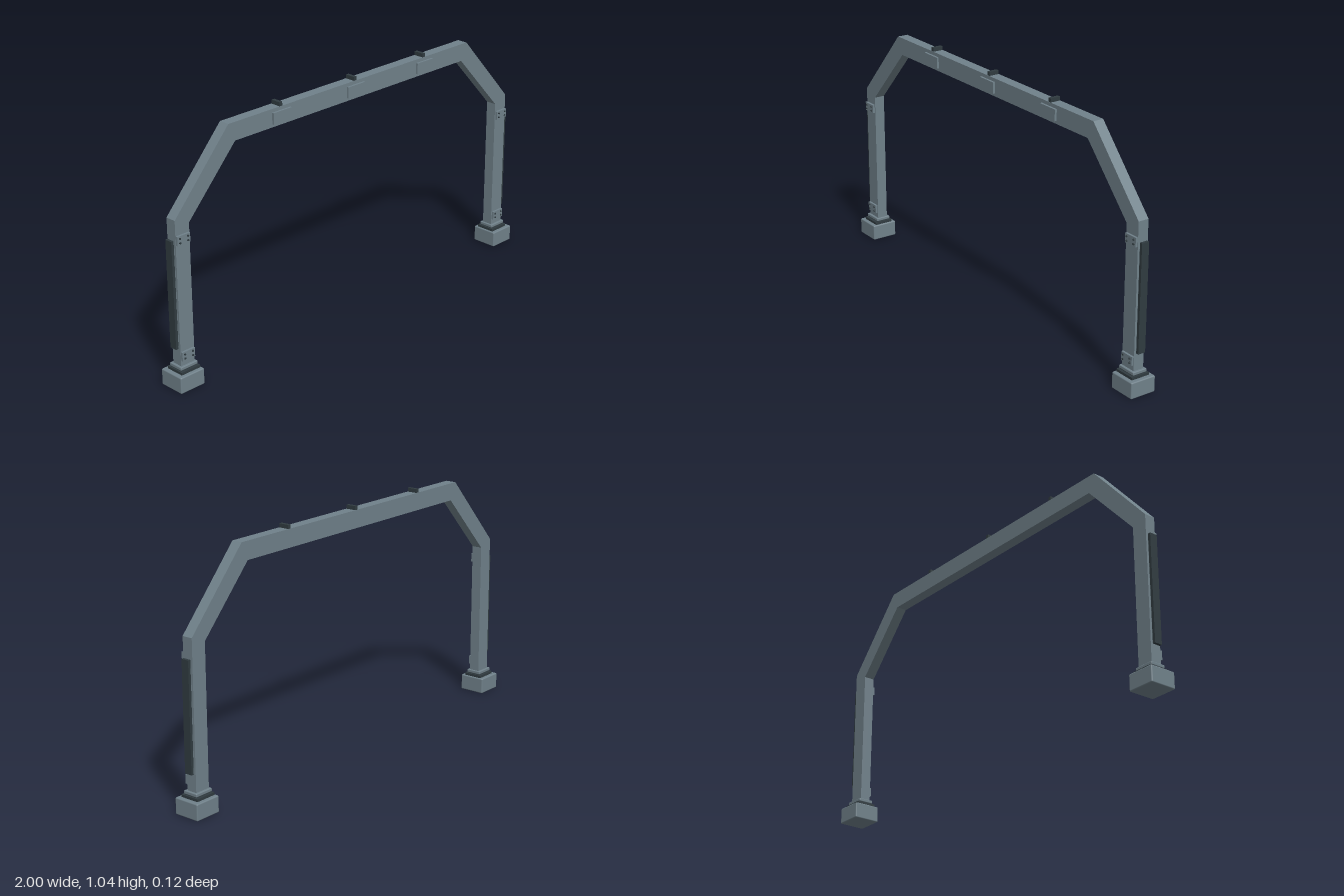
import * as THREE from 'three';
import { RoundedBoxGeometry } from 'three/addons/geometries/RoundedBoxGeometry.js';

export function createModel() {
  const model = new THREE.Group();
  model.name = 'gantryArch';
  const steel = new THREE.MeshStandardMaterial({ color: 0x70818a });
  steel.name = 'blue grey steel';
  const dark = new THREE.MeshStandardMaterial({ color: 0x303b40 });
  dark.name = 'dark rubber';

  const add = (parent, name, geometry, material, x, y, z) => {
    const mesh = new THREE.Mesh(geometry, material);
    mesh.name = name;
    mesh.position.set(x, y, z);
    parent.add(mesh);
    return mesh;
  };
  const box = (parent, name, material, w, h, d, x, y, z) =>
    add(parent, name, new THREE.BoxGeometry(w, h, d), material, x, y, z);
  const rounded = (parent, name, material, w, h, d, r, x, y, z) =>
    add(parent, name, new RoundedBoxGeometry(w, h, d, 2, r), material, x, y, z);

  // Arch: one outline of legs, slanted shoulders and top beam
  const half = [
    [0.898, 0.075], [0.967, 0.075], [0.967, 0.715], [0.687, 1.025],
  ];
  const inner = [[0.655, 0.949], [0.898, 0.687]];
  const mirror = (pts) => pts.map(([x, y]) => [-x, y]).reverse();
  const outline = [...half, ...mirror(half), ...mirror(inner), ...inner.slice(0, 2)];
  const shape = new THREE.Shape(outline.map(([x, y]) => new THREE.Vector2(x, y)));
  const frame = new THREE.ExtrudeGeometry(shape, { depth: 0.047, bevelEnabled: false });
  add(model, 'archFrame', frame, steel, 0, 0, -0.0235);

  for (const side of [1, -1]) {
    const leg = new THREE.Group();
    leg.name = side > 0 ? 'leftLegFittings' : 'rightLegFittings';
    model.add(leg);
    const x = side * 0.934;

    // Foot: block, dark gasket and collar
    rounded(leg, 'footBlock', steel, 0.12, 0.07, 0.117, 0.005, side * 0.94, 0.035, 0);
    box(leg, 'footGasket', dark, 0.094, 0.012, 0.084, x, 0.075, 0);
    box(leg, 'collarSeat', dark, 0.078, 0.006, 0.06, x, 0.083, 0);
    rounded(leg, 'collar', steel, 0.086, 0.014, 0.067, 0.003, x, 0.091, 0);

    // Outer guard strip on a slim backing
    box(leg, 'guardBacking', steel, 0.006, 0.45, 0.028, side * 0.969, 0.402, 0);
    box(leg, 'guardStrip', dark, 0.012, 0.458, 0.034, side * 0.977, 0.402, 0);

    // Bolted front brackets
    for (const y of [0.632, 0.141]) {
      box(leg, 'bracket', steel, 0.063, 0.038, 0.01, x, y, 0.028);
      for (const dx of [-0.02, 0.02]) {
        for (const dy of [-0.009, 0.009]) {
          const bolt = add(leg, 'bolt', new THREE.CylinderGeometry(0.004, 0.004, 0.005, 8),
            dark, x + dx, y + dy, 0.0345);
          bolt.rotation.x = Math.PI / 2;
        }
      }
    }
  }

  // Beam front plates and top clips
  for (const x of [-0.413, 0, 0.413]) {
    box(model, 'beamPlate', steel, 0.096, 0.048, 0.01, x, 0.986, 0.028);
    box(model, 'topClip', dark, 0.015, 0.017, 0.045, x, 1.033, 0);
  }
  return model;
}
